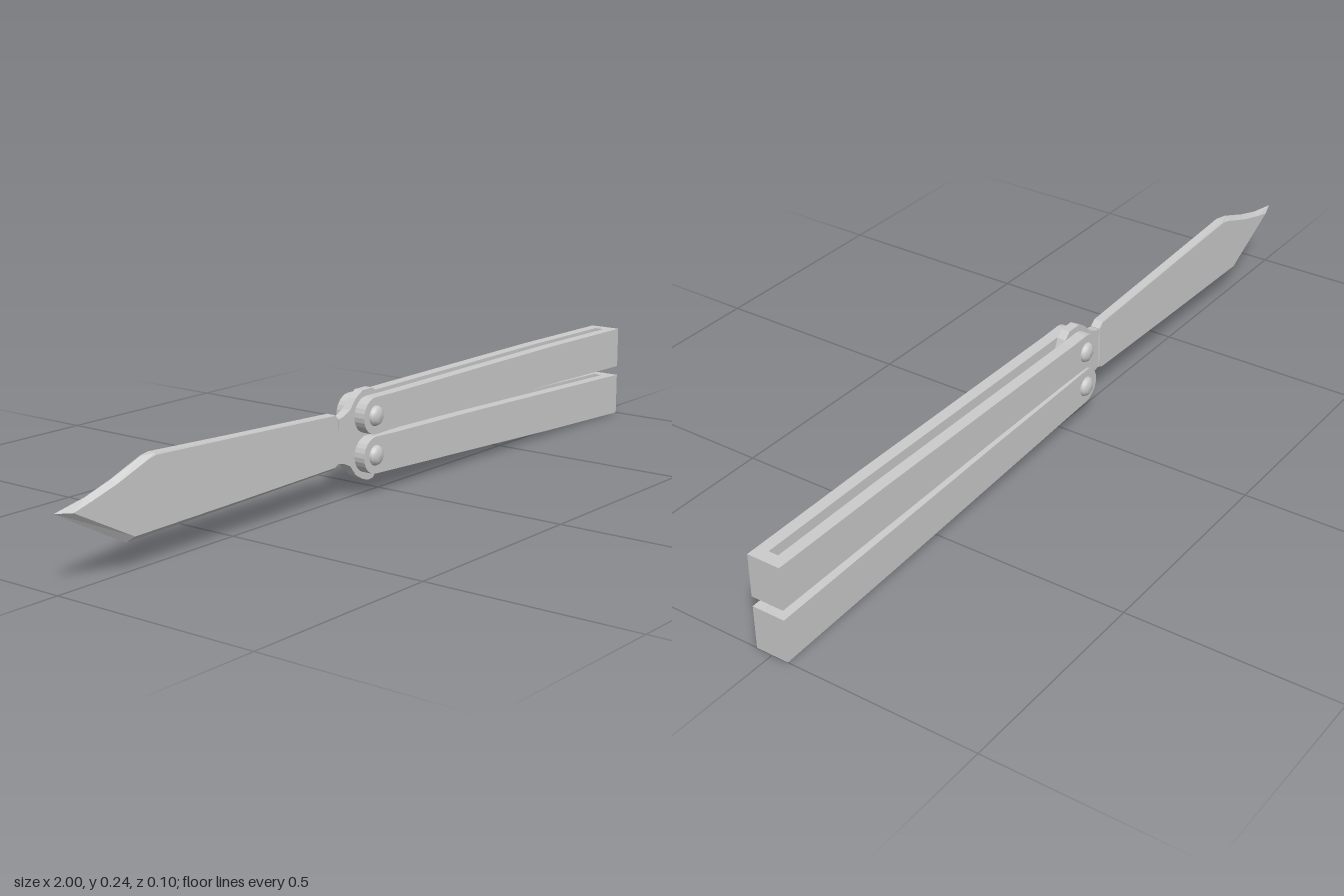
import * as THREE from 'three';

const steel = new THREE.MeshStandardMaterial({ color: 0xcccccc });
steel.name = 'steel';

const HALF = 0.04;    // half width of a handle
const SLOT = 0.012;   // half width of the slot and half thickness of the blade
const PIVOT_X = -0.058;
const PIVOT_R = 0.043;

function add(parent, name, geometry) {
  const mesh = new THREE.Mesh(geometry, steel);
  mesh.name = name;
  parent.add(mesh);
  return mesh;
}

// Flat plate cut from a list of [x, y] points, between z0 and z1
function plate(points, z0, z1) {
  const shape = new THREE.Shape(points.map(p => new THREE.Vector2(...p)));
  const geometry = new THREE.ExtrudeGeometry(shape, { depth: z1 - z0, bevelEnabled: false });
  return geometry.translate(0, 0, z0);
}

// Bevelled blade: rows are [edge x, edge y, flat x, flat y, half thickness at the edge]
function bladeGeometry(rows) {
  const ring = (k, z) => rows.map(r => [r[k], r[k + 1], z(r)]);
  const rings = [
    ring(2, () => -SLOT), ring(0, r => -r[4]),
    ring(0, r => r[4]), ring(2, () => SLOT),
  ];
  const pos = [];
  const tri = (...pts) => pts.forEach(p => pos.push(...p));
  const n = rows.length;
  for (let k = 0; k < 3; k++) {
    for (let i = 0; i < n; i++) {
      const j = (i + 1) % n, a = rings[k], b = rings[k + 1];
      tri(a[i], a[j], b[j]);
      tri(a[i], b[j], b[i]);
    }
  }
  const flat = rows.map(r => new THREE.Vector2(r[2], r[3]));
  for (const [a, b, c] of THREE.ShapeUtils.triangulateShape(flat, [])) {
    tri(rings[3][a], rings[3][b], rings[3][c]);
    tri(rings[0][c], rings[0][b], rings[0][a]);
  }
  const geometry = new THREE.BufferGeometry();
  geometry.setAttribute('position', new THREE.Float32BufferAttribute(pos, 3));
  geometry.computeVertexNormals();
  return geometry;
}

// Slotted handle with a rounded pivot end, a solid butt and two rivet heads
function makeHandle(name, pivotY, lower, upper) {
  const handle = new THREE.Group();
  handle.name = name;

  const arc = [];
  for (let i = 0; i <= 12; i++) {
    const a = Math.PI * (0.5 + i / 12);
    arc.push([PIVOT_X + PIVOT_R * Math.cos(a), pivotY + PIVOT_R * Math.sin(a)]);
  }
  const outline = [...lower, ...[...upper].reverse(), ...arc];
  add(handle, 'frontScale', plate(outline, SLOT, HALF));
  add(handle, 'backScale', plate(outline, -HALF, -SLOT));

  // butt block closing the slot
  const [lo, hi] = [lower.at(-1), upper.at(-1)];
  const butt = [[0.97, lo[1] + 0.001], lo, hi, [0.97, hi[1]]];
  add(handle, 'butt', plate(butt, -SLOT, SLOT));

  // domed rivet heads and the pin between them
  const profile = [[0, -0.052], [0.013, -0.051], [0.021, -0.046], [0.025, -0.038],
    [0.025, 0.038], [0.021, 0.046], [0.013, 0.051], [0, 0.052]]
    .map(p => new THREE.Vector2(...p));
  const rivet = add(handle, 'rivet', new THREE.LatheGeometry(profile, 20));
  rivet.rotation.x = Math.PI / 2;
  rivet.position.set(PIVOT_X, pivotY, 0);
  return handle;
}

export function createModel() {
  const model = new THREE.Group();
  model.name = 'foldingKnife';

  // blade, counter-clockwise from the tip along the cutting edge
  add(model, 'blade', bladeGeometry([
    [-1.0, 0.163, -0.962, 0.158, 0.001],
    [-0.815, 0.062, -0.800, 0.073, 0.001],
    [-0.5, 0.068, -0.5, 0.077, 0.001],
    [-0.17, 0.075, -0.17, 0.083, 0.001],
    [-0.155, 0.088, -0.157, 0.092, 0.011],
    [-0.155, 0.192, -0.157, 0.190, 0.011],
    [-0.17, 0.204, -0.17, 0.202, 0.011],
    [-0.5, 0.219, -0.5, 0.217, 0.011],
    [-0.735, 0.231, -0.735, 0.227, 0.010],
    [-0.765, 0.230, -0.757, 0.222, 0.002],
    [-0.85, 0.199, -0.845, 0.190, 0.001],
    [-0.92, 0.178, -0.915, 0.170, 0.001],
  ]));

  // tang with its two humps, held between the scales
  add(model, 'tang', plate([
    [-0.16, 0.09], [-0.14, 0.086], [-0.115, 0.075], [-0.095, 0.05], [-0.07, 0.036],
    [-0.05, 0.03], [-0.032, 0.032], [-0.015, 0.05], [0, 0.09], [0.03, 0.13],
    [0.03, 0.15], [0, 0.19], [-0.015, 0.228], [-0.032, 0.243], [-0.07, 0.243],
    [-0.095, 0.228], [-0.115, 0.205], [-0.14, 0.194], [-0.16, 0.19],
  ], -0.011, 0.011));

  model.add(makeHandle('upperHandle', 0.186,
    [[0.02, 0.144], [0.3, 0.141], [1.0, 0.128]],
    [[0, 0.228], [0.67, 0.232], [1.0, 0.230]]));
  model.add(makeHandle('lowerHandle', 0.094,
    [[0, 0.048], [0.67, 0.014], [1.0, 0.0]],
    [[0.02, 0.134], [0.3, 0.127], [1.0, 0.104]]));

  return model;
}
